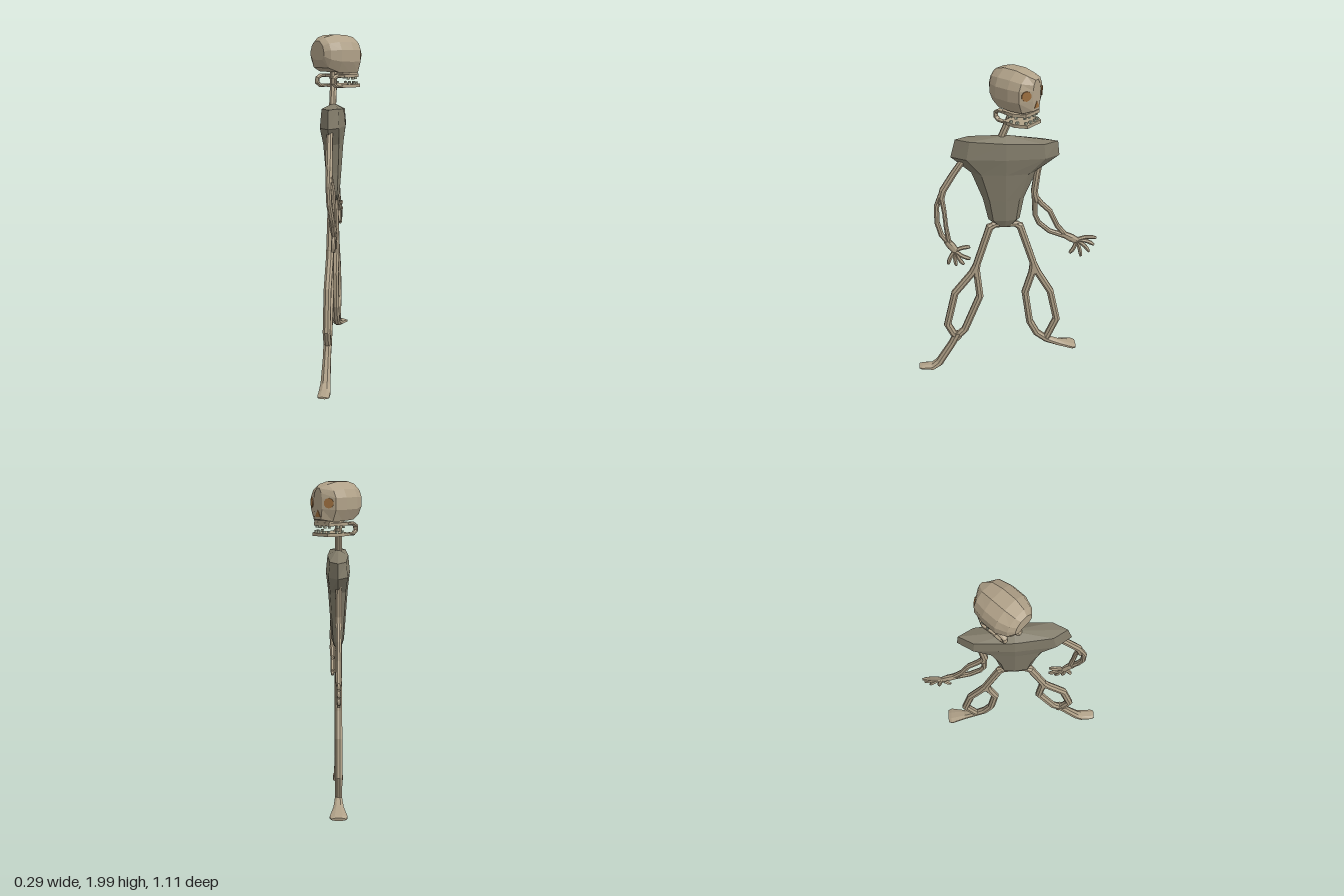
import * as THREE from 'three';

const bone = new THREE.MeshStandardMaterial({ color: 0xb0a188 });
const cloth = new THREE.MeshStandardMaterial({ color: 0x827c6a });
const socket = new THREE.MeshStandardMaterial({ color: 0x9e7040 });
const enamel = new THREE.MeshStandardMaterial({ color: 0xc3c8b0 });
bone.name = 'bone';
cloth.name = 'torso grey';
socket.name = 'socket brown';
enamel.name = 'tooth enamel';

const MID = -0.015; // x of the limb plane

// Joins closed rings (counter-clockwise seen from the far end) into a capped, faceted skin
function loft(rings) {
  const n = rings[0].length, last = (rings.length - 1) * n, idx = [];
  for (let i = 0; i < rings.length - 1; i++) {
    for (let j = 0; j < n; j++) {
      const k = (j + 1) % n, a = i * n + j, b = i * n + k;
      idx.push(a, b, b + n, a, b + n, a + n);
    }
  }
  for (let j = 1; j < n - 1; j++) idx.push(0, j + 1, j, last, last + j, last + j + 1);
  const g = new THREE.BufferGeometry();
  g.setAttribute('position', new THREE.Float32BufferAttribute(rings.flat(2), 3));
  g.setIndex(idx);
  const flat = g.toNonIndexed();
  flat.computeVertexNormals();
  return flat;
}

// Mitred tube along [z, y, radius, x, xRadius] points
function limb(points, sides = 8) {
  const dirs = points.slice(1).map((p, i) =>
    new THREE.Vector2(p[0] - points[i][0], p[1] - points[i][1]).normalize());
  return loft(points.map(([z, y, r, x = MID, rx = r], i) => {
    const a = dirs[Math.max(i - 1, 0)], b = dirs[Math.min(i, dirs.length - 1)];
    const d = a.clone().add(b).normalize();
    const m = r / Math.max(d.dot(a), 0.6);
    return Array.from({ length: sides }, (_, j) => {
      const t = ((j + 0.5) / sides) * Math.PI * 2, c = Math.cos(t) * m;
      return [x + Math.sin(t) * rx, y - c * d.x, z + c * d.y];
    });
  }));
}

function add(parent, name, geometry, material = bone) {
  const mesh = new THREE.Mesh(geometry, material);
  mesh.name = name;
  parent.add(mesh);
  return mesh;
}

function buildTorso(root) {
  // y front, y back, z front, z back, half width
  const levels = [
    [1.045, 1.045, 0.05, -0.04, 0.022], [1.085, 1.085, 0.1, -0.085, 0.036],
    [1.22, 1.22, 0.13, -0.11, 0.046], [1.39, 1.385, 0.195, -0.18, 0.058],
    [1.49, 1.48, 0.31, -0.31, 0.07], [1.595, 1.565, 0.283, -0.3, 0.06],
    [1.61, 1.608, 0.02, -0.02, 0.01]];
  add(root, 'torso', loft(levels.map(([yf, yb, f, b, w]) => [
    [0, yf, f], [w * 0.77, yf, f * 0.72], [w, (yf + yb) / 2, 0], [w * 0.77, yb, b * 0.72],
    [0, yb, b], [-w * 0.77, yb, b * 0.72], [-w, (yf + yb) / 2, 0], [-w * 0.77, yf, f * 0.72],
  ].map(([x, y, z]) => [x - 0.012, y, z]))), cloth);
  add(root, 'neck', limb([[0.03, 1.58, 0.021], [-0.025, 1.71, 0.021], [-0.045, 1.82, 0.021]]));
  add(root, 'pelvis', limb([[0.08, 1.045, 0.018], [-0.08, 1.045, 0.018]]));
}

function buildLegs(root) {
  const front = new THREE.Group(), back = new THREE.Group();
  front.name = 'frontLeg';
  back.name = 'backLeg';
  root.add(front, back);
  const r = 0.023;
  add(front, 'thigh', limb([[0.06, 1.045, 0.018], [0.092, 1.03, r], [0.172, 0.78, r], [0.18, 0.7, r]]));
  add(front, 'outerShin', limb([[0.175, 0.77, r], [0.2, 0.72, r], [0.31, 0.58, r], [0.363, 0.35, r], [0.33, 0.28, r], [0.29, 0.24, r]]));
  add(front, 'innerShin', limb([[0.178, 0.76, r], [0.172, 0.7, r], [0.157, 0.55, r], [0.255, 0.305, r], [0.31, 0.25, r]]));
  add(front, 'ankleAndFoot', limb([[0.3, 0.28, 0.026], [0.34, 0.2, 0.024], [0.425, 0.06, 0.026, MID, 0.03],
    [0.468, 0.03, 0.023, MID, 0.036], [0.535, 0.033, 0.012, MID, 0.036], [0.555, 0.035, 0.006, MID, 0.028]]));

  add(back, 'thigh', limb([[-0.06, 1.045, 0.018], [-0.088, 1.03, r], [-0.168, 0.78, r], [-0.18, 0.7, r]]));
  add(back, 'outerShin', limb([[-0.17, 0.77, r], [-0.2, 0.7, r], [-0.28, 0.56, r], [-0.325, 0.35, r], [-0.265, 0.21, r]]));
  add(back, 'innerShin', limb([[-0.172, 0.76, r], [-0.165, 0.7, r], [-0.124, 0.56, r], [-0.155, 0.34, r], [-0.2, 0.25, r],
    [-0.265, 0.195, 0.022], [-0.34, 0.165, 0.02, MID, 0.032], [-0.43, 0.146, 0.016, MID, 0.055], [-0.452, 0.143, 0.01, MID, 0.045]]));
}

function buildArm(root, name, bones, palm, fingers) {
  const arm = new THREE.Group();
  arm.name = name;
  root.add(arm);
  for (const [part, path] of Object.entries(bones)) add(arm, part, limb(path));
  add(arm, 'palm', limb(palm));
  // Curved fingers fan out of the palm: tip z, tip y, sideways bow
  const [z0, y0, , x] = palm[palm.length - 1];
  for (const [z, y, bow] of fingers) {
    const curve = new THREE.QuadraticBezierCurve(new THREE.Vector2(z0, y0),
      new THREE.Vector2((z0 + z) / 2 - (y - y0) * bow, (y0 + y) / 2 + (z - z0) * bow), new THREE.Vector2(z, y));
    const path = curve.getPoints(5).map((p, i) => [p.x, p.y, i < 5 ? 0.0125 : 0.008, x]);
    add(arm, 'finger', limb(path, 6));
  }
}

function buildArms(root) {
  buildArm(root, 'frontArm', {
    upperArm: [[0.22, 1.5, 0.018, -0.01], [0.3, 1.385, 0.02, -0.005], [0.36, 1.29, 0.021, 0], [0.38, 1.21, 0.019, 0.002]],
    outerForearm: [[0.37, 1.27, 0.016, 0], [0.4, 1.19, 0.016, 0], [0.402, 1.09, 0.016, 0.005], [0.38, 1.01, 0.016, 0.015], [0.335, 0.95, 0.016, 0.02]],
    innerForearm: [[0.37, 1.25, 0.016, 0.005], [0.357, 1.16, 0.014, 0.02], [0.35, 1.06, 0.014, 0.025], [0.335, 0.95, 0.016, 0.022]],
  }, [[0.35, 0.97, 0.02, 0.02], [0.325, 0.935, 0.026, 0.02, 0.018], [0.3, 0.9, 0.022, 0.02, 0.014]],
  [[0.345, 0.81, 0.15], [0.297, 0.798, 0.12], [0.252, 0.803, 0.15], [0.212, 0.84, 0.2], [0.212, 0.92, -0.15]]);

  buildArm(root, 'backArm', {
    upperArm: [[-0.2, 1.45, 0.018], [-0.185, 1.37, 0.02], [-0.17, 1.25, 0.021], [-0.185, 1.19, 0.02]],
    outerForearm: [[-0.175, 1.22, 0.018], [-0.215, 1.17, 0.016], [-0.265, 1.12, 0.016], [-0.31, 1.02, 0.016], [-0.365, 0.95, 0.017]],
    innerForearm: [[-0.172, 1.23, 0.018], [-0.176, 1.1, 0.015], [-0.2, 1.045, 0.015], [-0.265, 0.985, 0.015], [-0.365, 0.945, 0.017]],
  }, [[-0.34, 0.965, 0.018], [-0.4, 0.93, 0.026, MID, 0.018], [-0.43, 0.912, 0.022, MID, 0.014]],
  [[-0.552, 0.922, -0.22], [-0.54, 0.875, -0.2], [-0.513, 0.828, -0.15], [-0.462, 0.8, -0.1], [-0.392, 0.825, -0.2]]);
}

function buildHead(root) {
  const head = new THREE.Group();
  head.name = 'head';
  head.position.set(0, 0, -0.06);
  head.rotation.y = Math.PI * 0.75;
  root.add(head);

  // Skull from back to face: z, half width, top, bottom
  const side = [[1, -0.45], [1, 0.15], [0.82, 0.6], [0.35, 1]];
  const section = [[0.75, -1], ...side, ...side.map(([x, y]) => [-x, y]).reverse(), [-0.75, -1]];
  const slices = [[-0.143, 0.06, 1.965, 1.86], [-0.115, 0.09, 1.985, 1.815], [-0.055, 0.114, 2, 1.79],
    [0.03, 0.114, 2, 1.785], [0.098, 0.1, 1.985, 1.785], [0.14, 0.032, 1.965, 1.795]];
  add(head, 'skull', loft(slices.map(([z, w, top, bottom]) =>
    section.map(([x, y]) => [x * w, 1.9 + y * (y > 0 ? top - 1.9 : 1.9 - bottom), z]))));
  add(head, 'upperJawBone', new THREE.BoxGeometry(0.12, 0.04, 0.11)).position.set(0, 1.785, 0.055);

  // Eye and nose openings
  for (const s of [-1, 1]) {
    const eye = add(head, 'eyeSocket', new THREE.CylinderGeometry(0.028, 0.028, 0.009, 10).rotateX(Math.PI / 2), socket);
    eye.position.set(s * 0.066, 1.885, 0.1205);
    eye.rotation.y = s * 0.56;
  }
  const nose = add(head, 'noseOpening', new THREE.CylinderGeometry(0.025, 0.025, 0.008, 3).rotateX(Math.PI / 2).rotateZ(Math.PI), socket);
  nose.position.set(0, 1.822, 0.139);

  // Jaw plates joined by curved hinges, with teeth round the rim
  const rim = [[-0.085, -0.035], [-0.092, 0.05], [-0.06, 0.115], [0.06, 0.115], [0.092, 0.05], [0.085, -0.035]];
  const shape = new THREE.Shape(rim.map(([x, z]) => new THREE.Vector2(x, z)));
  const plate = new THREE.ExtrudeGeometry(shape, { depth: 0.018, bevelEnabled: false }).rotateX(Math.PI / 2);
  add(head, 'upperJaw', plate).position.y = 1.777;
  add(head, 'lowerJaw', plate).position.set(0, 1.719, 0.012);
  for (const s of [-1, 1]) {
    const hinge = [[-0.01, 1.768, 0.01], [-0.06, 1.768, 0.011], [-0.084, 1.754, 0.011],
      [-0.086, 1.728, 0.011], [-0.064, 1.71, 0.01], [0, 1.71, 0.009]];
    add(head, 'jawHinge', limb(hinge.map(([z, y, r]) => [z, y, r, s * 0.074, 0.016])));
    for (const [x, z] of [[0.08, 0.02], [0.075, 0.06], [0.05, 0.1], [0.018, 0.105]]) {
      add(head, 'upperTooth', new THREE.BoxGeometry(0.014, 0.014, 0.012), enamel).position.set(s * x, 1.753, z);
      add(head, 'lowerTooth', new THREE.BoxGeometry(0.014, 0.014, 0.012), enamel).position.set(s * x, 1.725, z + 0.008);
    }
  }
}

export function createModel() {
  const root = new THREE.Group();
  root.name = 'walkingSkeleton';
  buildTorso(root);
  buildLegs(root);
  buildArms(root);
  buildHead(root);
  return root;
}
